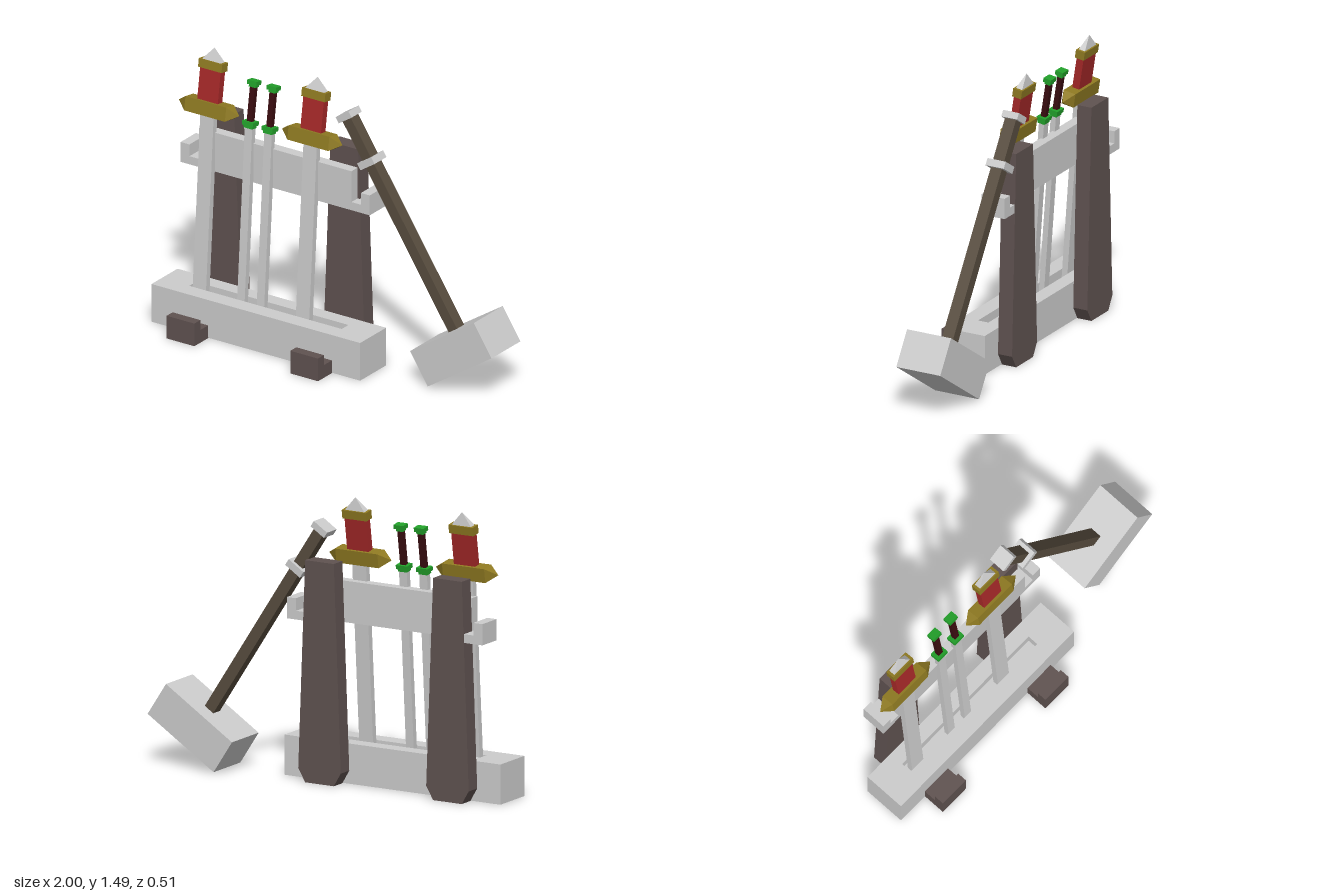
import * as THREE from 'three';

const mat = (color) => new THREE.MeshStandardMaterial({ color, flatShading: true });
const grey = mat(0xcccccc), darkWood = mat(0x5f5250), handleWood = mat(0x574c3e);
const gold = mat(0x8f7a22), red = mat(0xa52828), green = mat(0x22a02a), darkGrip = mat(0x3a0d10);

function add(parent, name, geometry, material, x = 0, y = 0, z = 0) {
  const mesh = new THREE.Mesh(geometry, material);
  mesh.name = name;
  mesh.position.set(x, y, z);
  parent.add(mesh);
  return mesh;
}

// Box given by its minimum and maximum on each axis
function block(parent, name, material, [x0, x1], [y0, y1], [z0, z1]) {
  return add(parent, name, new THREE.BoxGeometry(x1 - x0, y1 - y0, z1 - z0), material,
    (x0 + x1) / 2, (y0 + y1) / 2, (z0 + z1) / 2);
}

function group(parent, name, x = 0, y = 0, z = 0) {
  const g = new THREE.Group();
  g.name = name;
  g.position.set(x, y, z);
  parent.add(g);
  return g;
}

const polygon = (points) => new THREE.Shape(points.map(([x, y]) => new THREE.Vector2(x, y)));
const extrude = (shape, depth) => new THREE.ExtrudeGeometry(shape, { depth, bevelEnabled: false });

// Four-sided pyramid with its base on y = 0
function pyramid(width, height, depth) {
  return new THREE.ConeGeometry(Math.SQRT1_2, 1, 4, 1).rotateY(Math.PI / 4)
    .translate(0, 0.5, 0).scale(width, height, depth);
}

const BLADE_TILT = -0.072, HILT_TILT = -0.155;

// Blade hanging from a tilted group; returns the hilt group above it
function swordBase(parent, name, x, y, z, width, thickness) {
  const sword = group(parent, name, x, y, z);
  const lower = group(sword, 'bladeHolder');
  lower.rotation.x = BLADE_TILT;
  add(lower, 'blade', new THREE.BoxGeometry(width, 1.01, thickness), grey, 0, -0.505, 0);
  const hilt = group(sword, 'hilt');
  hilt.rotation.x = HILT_TILT;
  return hilt;
}

function broadSword(parent, x) {
  const hilt = swordBase(parent, 'broadSword', x, 1.175, -0.052, 0.082, 0.032);
  // Crossguard with pointed ends
  add(hilt, 'crossguard', new THREE.BoxGeometry(0.25, 0.075, 0.07), gold);
  for (const s of [-1, 1]) {
    const tip = add(hilt, 'crossguardTip', pyramid(0.075, 0.06, 0.07), gold, s * 0.125, 0, 0);
    tip.rotation.z = -s * Math.PI / 2;
  }
  block(hilt, 'grip', red, [-0.063, 0.063], [0.03, 0.21], [-0.02, 0.02]);
  block(hilt, 'pommelBand', gold, [-0.072, 0.072], [0.205, 0.25], [-0.026, 0.026]);
  add(hilt, 'pommelPoint', pyramid(0.115, 0.068, 0.036), grey, 0, 0.25, 0);
}

function slimSword(parent, x) {
  const hilt = swordBase(parent, 'slimSword', x, 1.15, -0.052, 0.046, 0.03);
  block(hilt, 'guardLower', green, [-0.026, 0.026], [-0.02, 0], [-0.02, 0.02]);
  block(hilt, 'guardUpper', green, [-0.034, 0.034], [-0.006, 0.016], [-0.026, 0.026]);
  block(hilt, 'grip', darkGrip, [-0.015, 0.015], [0.016, 0.2], [-0.013, 0.013]);
  block(hilt, 'pommelLower', green, [-0.02, 0.02], [0.197, 0.212], [-0.016, 0.016]);
  block(hilt, 'pommelUpper', green, [-0.029, 0.029], [0.21, 0.232], [-0.022, 0.022]);
}

export function createModel() {
  const model = new THREE.Group();
  model.name = 'weaponRack';

  // Base: solid slab with a grooved upper layer
  const base = group(model, 'base');
  block(base, 'baseSlab', grey, [-1, 0.28], [0.002, 0.15], [-0.1, 0.13]);
  const rim = polygon([[-1, -0.13], [0.28, -0.13], [0.28, 0.1], [-1, 0.1]]);
  rim.holes.push(polygon([[-0.83, -0.04], [-0.83, 0.02], [0.105, 0.02], [0.105, -0.04]]));
  add(base, 'baseRim', extrude(rim, 0.06).rotateX(-Math.PI / 2), grey, 0, 0.15, 0);

  // Tapered back posts and the feet running under the base
  const postShape = polygon([[-0.085, 0], [0.085, 0], [0.126, 0.07], [0.085, 1.15], [-0.085, 1.15], [-0.126, 0.07]]);
  for (const x of [-0.737, 0.022]) {
    add(model, 'post', extrude(postShape, 0.082), darkWood, x, 0, -0.183);
    block(model, 'foot', darkWood, [x - 0.085, x + 0.085], [0, 0.07], [-0.102, 0.22]);
    block(model, 'footToe', darkWood, [x - 0.085, x + 0.085], [0, 0.125], [0.2, 0.253]);
  }

  // Crossbar with a hook at each end
  block(model, 'crossbar', grey, [-0.83, 0.105], [0.835, 1.05], [-0.101, -0.045]);
  for (const s of [-1, 1]) {
    const hook = group(model, 'hook', -0.3625);
    const span = (a, b) => (s > 0 ? [a, b] : [-b, -a]);
    block(hook, 'hookFloor', grey, span(0.46, 0.58), [0.835, 0.88], [-0.18, -0.045]);
    block(hook, 'hookUpright', grey, span(0.526, 0.58), [0.835, 0.945], [-0.18, -0.045]);
  }

  // Swords leaning on the crossbar
  for (const x of [-0.773, -0.14]) broadSword(model, x);
  for (const x of [-0.52, -0.4]) slimSword(model, x);

  // Hammer leaning on the right-hand hook
  const hammer = group(model, 'hammer', 0.747, 0.217, -0.127);
  hammer.rotation.z = 0.577;
  add(hammer, 'hammerHead', new THREE.BoxGeometry(0.467, 0.2, 0.256), grey);
  block(hammer, 'hammerHandle', handleWood, [-0.03, 0.03], [0.09, 1.31], [-0.032, 0.032]);
  block(hammer, 'handleRing', grey, [-0.052, 0.052], [1.032, 1.07], [-0.053, 0.053]);
  block(hammer, 'handleCap', grey, [-0.047, 0.047], [1.293, 1.328], [-0.046, 0.046]);

  return model;
}
